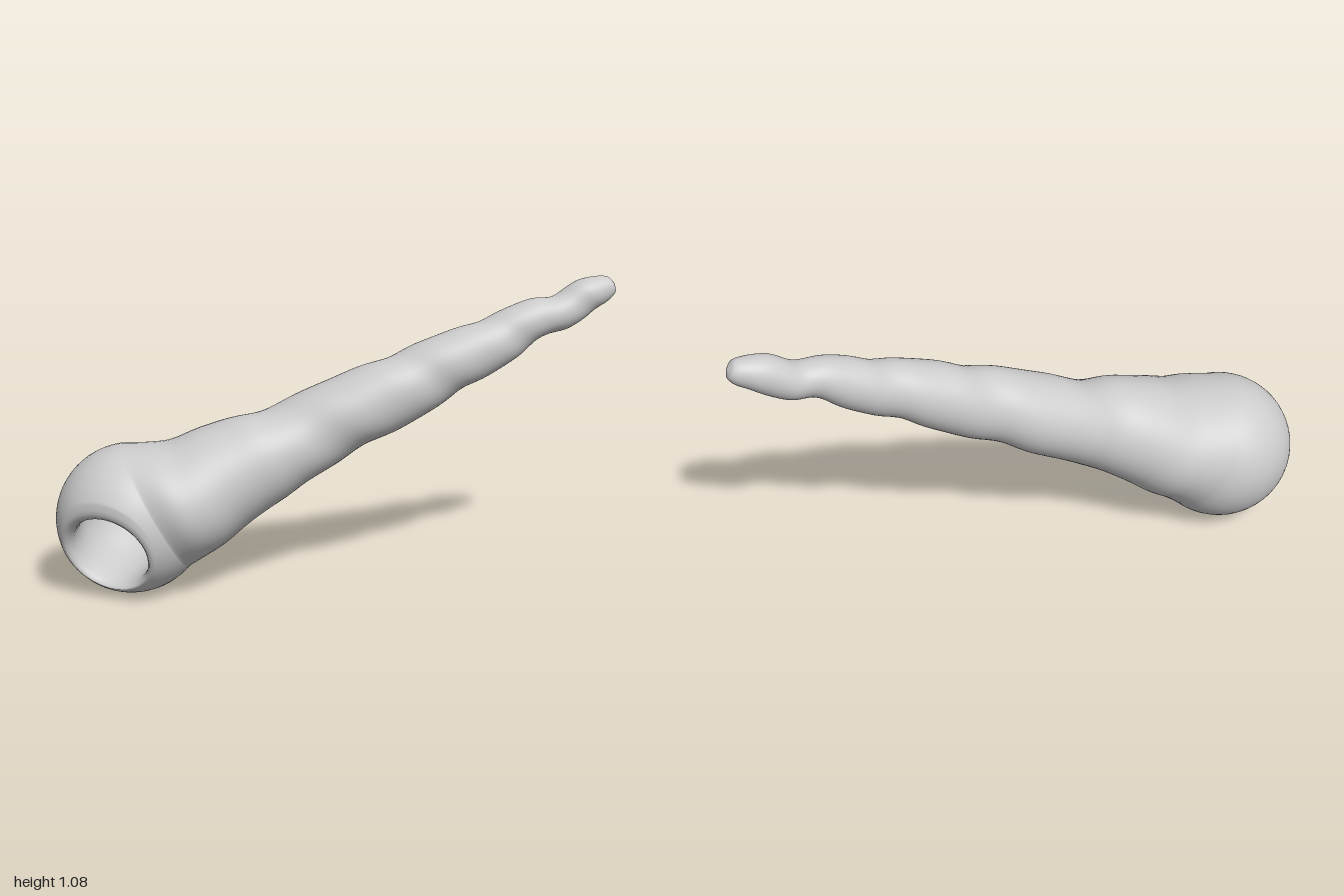
import * as THREE from 'three';

const SIDES = 48, SPIRE_RINGS = 110;
const V = (x, y, z) => new THREE.Vector3(x, y, z);

// Spire sections from tip to body: centre x, y, z, upright radius, front radius
const SPIRE = [
  [1.0, 1.055, -0.236, 0.001, 0.001], [0.99, 1.052, -0.234, 0.03, 0.03], [0.965, 1.042, -0.231, 0.046, 0.044],
  [0.9, 1.015, -0.219, 0.062, 0.058], [0.8, 0.96, -0.198, 0.066, 0.065], [0.72, 0.943, -0.18, 0.071, 0.07],
  [0.6, 0.882, -0.154, 0.088, 0.083], [0.4, 0.79, -0.116, 0.108, 0.102], [0.2, 0.697, -0.088, 0.127, 0.118],
  [0, 0.602, -0.065, 0.137, 0.138], [-0.18, 0.52, -0.036, 0.15, 0.153], [-0.27, 0.478, -0.015, 0.168, 0.168],
  [-0.4, 0.415, 0, 0.19, 0.205], [-0.5, 0.358, 0.015, 0.207, 0.24], [-0.57, 0.335, 0.022, 0.225, 0.252],
];

// Round body whorl and the direction its mouth faces
const BODY = V(-0.73, 0.267, 0.025), R = 0.267;
const AXIS = V(-0.88, -0.46, 0.1).normalize();
const MOUTH = V(-0.36, -0.32, 0.88).normalize();

// Spiral groove between whorls; a runs from the top over the front
function groove(x, a) {
  const u = x + 0.19;
  const turns = 1 + 1.73 * u + 1.27 * u * u;
  const fade = THREE.MathUtils.smoothstep(x, -0.34, -0.2) * (1 - THREE.MathUtils.smoothstep(x, 0.88, 0.98));
  const c = 0.5 + 0.5 * Math.cos(turns * Math.PI * 2 - a);
  return 1 + fade * (0.03 - 0.1 * c ** 3);
}

function buildRings() {
  const rings = [];
  const add = (centre, normal, tall, wide = tall) => rings.push({ centre, normal, tall, wide });

  // Tapering spire, joined to the first slice of the body
  const start = THREE.MathUtils.degToRad(111), end = THREE.MathUtils.degToRad(44.5);
  const first = BODY.clone().addScaledVector(AXIS, R * Math.cos(start));
  const radius = R * Math.sin(start);
  const stations = [...SPIRE, [first.x, first.y, first.z, radius, radius]];
  const path = new THREE.CatmullRomCurve3(stations.map(s => V(s[0], s[1], s[2])));
  const radii = new THREE.CatmullRomCurve3(stations.map(s => V(s[3], s[4], s[0])));
  for (let i = 0; i < SPIRE_RINGS; i++) {
    const t = i / SPIRE_RINGS, r = radii.getPoint(t);
    add(path.getPoint(t), AXIS, r.x, r.y);
  }

  // Body slices swing round towards the mouth
  for (let i = 0; i <= 24; i++) {
    const t = i / 24, angle = start + (end - start) * t;
    const n = AXIS.clone().lerp(MOUTH, t).normalize();
    add(BODY.clone().addScaledVector(n, R * Math.cos(angle)), n, R * Math.sin(angle));
  }

  // Rolled lip and hollow inside: distance along the mouth axis, radius, drop
  const inside = [[0.197, 0.18, 0.004], [0.2, 0.171, 0.008], [0.197, 0.161, 0.013], [0.185, 0.151, 0.018],
    [0.165, 0.145, 0.02], [0.12, 0.15, 0.015], [0.04, 0.17, 0], [-0.05, 0.175, 0],
    [-0.12, 0.145, 0], [-0.17, 0.08, 0], [-0.18, 0.001, 0]];
  for (const [d, r, drop] of inside) {
    const centre = BODY.clone().addScaledVector(MOUTH, d);
    centre.y -= drop;
    add(centre, MOUTH, r * (d > 0.1 ? 0.95 : 1), r);
  }
  return rings;
}

export function createModel() {
  const group = new THREE.Group();
  const rings = buildRings();
  const pos = [], index = [];

  rings.forEach(({ centre, normal, tall, wide }, i) => {
    const up = V(0, 1, 0).addScaledVector(normal, -normal.y).normalize();
    const front = up.clone().cross(normal);
    for (let j = 0; j < SIDES; j++) {
      const a = j / SIDES * Math.PI * 2;
      const g = groove(centre.x, a);
      const p = centre.clone()
        .addScaledVector(up, g * tall * Math.cos(a))
        .addScaledVector(front, g * wide * Math.sin(a));
      pos.push(p.x, p.y, p.z);
      if (i < rings.length - 1) {
        const k = i * SIDES + j, l = i * SIDES + (j + 1) % SIDES;
        index.push(k, k + SIDES, l, l, k + SIDES, l + SIDES);
      }
    }
  });

  const geometry = new THREE.BufferGeometry();
  geometry.setAttribute('position', new THREE.Float32BufferAttribute(pos, 3));
  geometry.setIndex(index);
  geometry.computeVertexNormals();

  const shell = new THREE.Mesh(geometry, new THREE.MeshStandardMaterial({ color: 0xcccccc }));
  shell.name = 'spiralShell';
  group.add(shell);
  return group;
}
